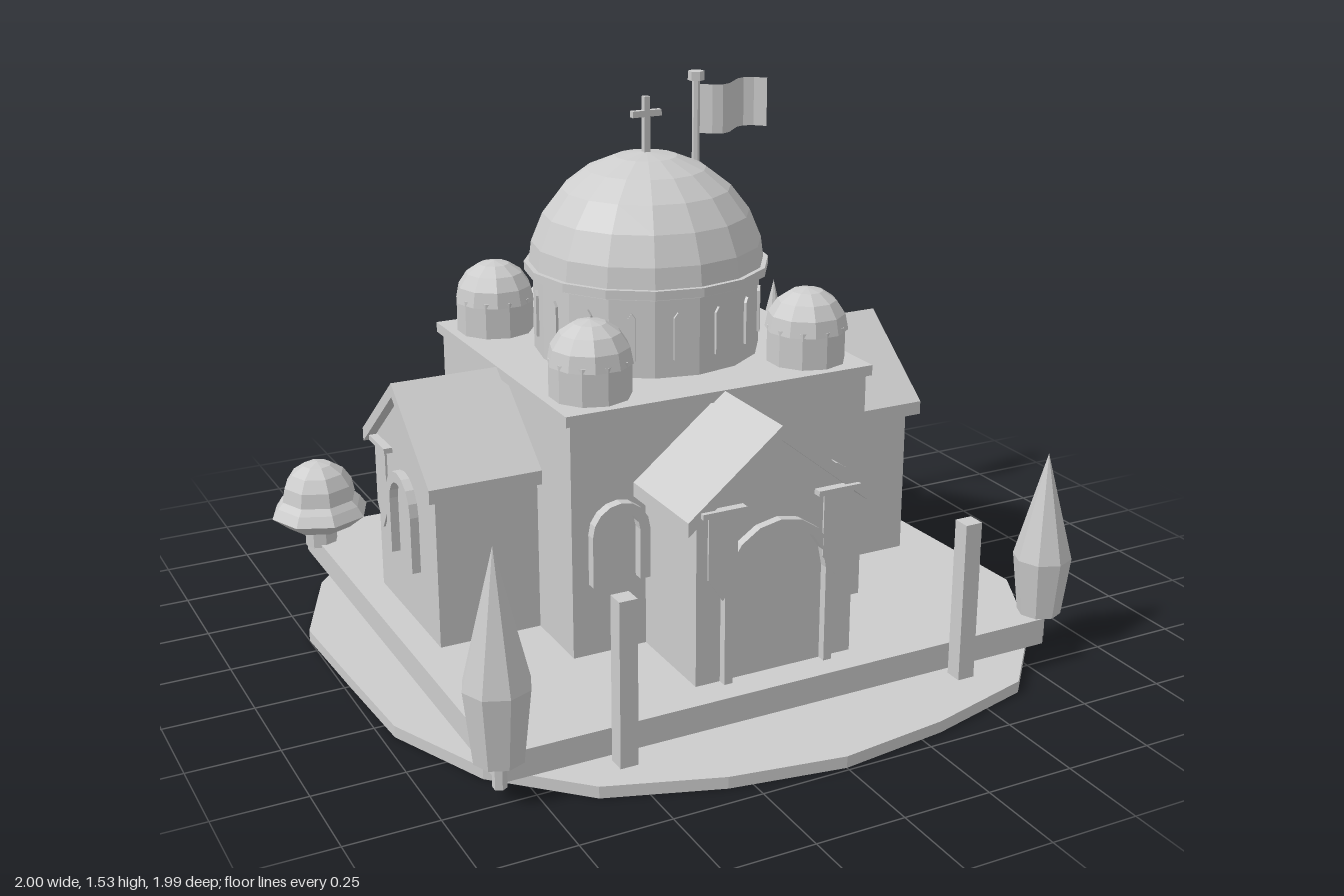
import * as THREE from 'three';
import { ParametricGeometry } from 'three/addons/geometries/ParametricGeometry.js';

export function createModel() {
  const root = new THREE.Group();
  const stone = new THREE.MeshStandardMaterial({ color: 0xcccccc, flatShading: true, side: THREE.DoubleSide });
  stone.name = 'pale grey stone';
  const CZ = -0.137; // centre line of the nave

  const add = (name, geo, x = 0, y = 0, z = 0, parent = root) => {
    const m = new THREE.Mesh(geo, stone);
    m.name = name;
    m.position.set(x, y, z);
    parent.add(m);
    return m;
  };
  // Box given by its limits
  const box = (name, x0, x1, y0, y1, z0, z1, parent = root) =>
    add(name, new THREE.BoxGeometry(x1 - x0, y1 - y0, z1 - z0), (x0 + x1) / 2, (y0 + y1) / 2, (z0 + z1) / 2, parent);
  const extrude = (shape, depth) => new THREE.ExtrudeGeometry(shape, { depth, bevelEnabled: false, curveSegments: 4 });
  const poly = (pts) => new THREE.Shape(pts.map(([x, y]) => new THREE.Vector2(x, y)));
  const lathe = (pts, n) => new THREE.LatheGeometry(pts.map(([r, y]) => new THREE.Vector2(r, y)), n);
  const dome = (r, n, rows) => new THREE.SphereGeometry(r, n, rows, 0, Math.PI * 2, 0, Math.PI / 2);

  // Arched frame, open at the foot
  const archFrame = (outer, inner, y0, top, depth) => {
    const spring = top - outer, pts = [], n = 8;
    for (let i = 0; i <= n; i++) {
      const a = Math.PI * i / n;
      pts.push([outer * Math.cos(a), spring + outer * Math.sin(a)]);
    }
    pts.push([-outer, y0], [-inner, y0]);
    for (let i = n; i >= 0; i--) {
      const a = Math.PI * i / n;
      pts.push([inner * Math.cos(a), spring + inner * Math.sin(a)]);
    }
    pts.push([inner, y0], [outer, y0]);
    return extrude(poly(pts), depth);
  };

  // Irregular ground slab
  const rim = [[0, .99], [.315, .95], [.63, .865], [.85, .62], [1, .32], [.985, 0], [.967, -.32], [.865, -.635],
    [.62, -.87], [.315, -1], [0, -.975], [-.315, -.975], [-.63, -.885], [-.87, -.62], [-1, -.32], [-.985, 0],
    [-.967, .32], [-.84, .62], [-.62, .835], [-.315, .94]];
  add('ground', extrude(poly(rim.map(([x, z]) => [x, -z])), 0.033)).rotation.x = -Math.PI / 2;
  box('terrace', -0.834, 0.83, 0.033, 0.11, -0.877, 0.711);

  // Central block
  box('mainBlock', -0.455, 0.455, 0.11, 0.78, -0.596, 0.326);
  box('cornice', -0.47, 0.47, 0.78, 0.81, -0.61, 0.335);

  // Gabled wing, built outward along its own +z from the church centre
  const wing = (name, wallEnd, roofEnd, angle) => {
    const g = new THREE.Group();
    g.name = name;
    g.position.z = CZ;
    g.rotation.y = angle;
    root.add(g);
    const wall = poly([[-0.237, 0.11], [0.237, 0.11], [0.237, 0.58], [0, 0.775], [-0.237, 0.58]]);
    add('wingWall', extrude(wall, wallEnd - 0.4), 0, 0, 0.4, g);
    const roof = poly([[0, 0.808], [-0.272, 0.59], [-0.272, 0.55], [0, 0.768], [0.272, 0.55], [0.272, 0.59]]);
    add('wingRoof', extrude(roof, roofEnd - 0.44), 0, 0, 0.44, g);
    return g;
  };
  // Pointed hanging on a short rail
  const banner = (g, x, y, tip, z) => {
    box('bannerRail', x - 0.064, x + 0.064, y, y + 0.015, z, z + 0.025, g);
    const s = poly([[x - 0.043, y], [x - 0.043, tip + 0.065], [x, tip], [x + 0.043, tip + 0.065], [x + 0.043, y]]);
    add('banner', extrude(s, 0.006), 0, 0, z + 0.01, g);
  };

  const front = wing('frontWing', 0.755, 0.777, 0);
  add('doorFrame', archFrame(0.165, 0.14, 0.11, 0.55, 0.025), 0, 0, 0.755, front);
  for (const s of [-1, 1]) banner(front, s * 0.172, 0.596, 0.355, 0.765);
  wing('backWing', 0.745, 0.773, Math.PI);
  for (const s of [1, -1]) {
    const g = wing(s > 0 ? 'leftWing' : 'rightWing', 0.752, 0.78, s * Math.PI / 2);
    add('sideWindowFrame', archFrame(0.1, 0.068, 0.28, 0.545, 0.025), 0, 0, 0.752, g);
    banner(g, s * 0.15, 0.572, 0.325, 0.756);
    add('frontWindowFrame', archFrame(0.085, 0.055, 0.32, 0.55, 0.03), s * 0.322, 0, 0.326);
    box('gatePost', s * 0.512 - 0.025, s * 0.512 + 0.025, 0.033, 0.49, 0.735, 0.785);
  }

  // Drum, slit windows and main dome
  add('drum', new THREE.CylinderGeometry(0.325, 0.325, 0.23, 16), 0, 0.925, CZ);
  for (let i = 0; i < 16; i++) {
    const a = (i + 0.5) * Math.PI / 8;
    const slit = poly([[-0.011, 0.86], [0.011, 0.86], [0.011, 0.98], [0, 0.995], [-0.011, 0.98]]);
    add('drumWindow', extrude(slit, 0.009), Math.sin(a) * 0.318, 0, CZ + Math.cos(a) * 0.318).rotation.y = a;
  }
  add('domeRing', new THREE.CylinderGeometry(0.35, 0.35, 0.025, 16), 0, 1.052, CZ);
  add('mainDome', dome(0.34, 16, 6), 0, 1.035, CZ);
  box('crossPost', -0.009, 0.009, 1.36, 1.53, CZ - 0.009, CZ + 0.009);
  box('crossArm', -0.045, 0.045, 1.473, 1.491, CZ - 0.009, CZ + 0.009);

  // Corner turrets
  for (const x of [-0.335, 0.335]) for (const z of [-0.471, 0.197]) {
    add('turret', new THREE.CylinderGeometry(0.113, 0.113, 0.11, 10), x, 0.86, z);
    add('turretDome', dome(0.118, 10, 4), x, 0.902, z);
  }

  // Flag on the back left turret
  add('flagPole', new THREE.CylinderGeometry(0.012, 0.012, 0.5, 6), 0.338, 1.25, -0.475);
  add('poleKnob', new THREE.CylinderGeometry(0.025, 0.025, 0.028, 6), 0.338, 1.511, -0.475);
  add('flag', new ParametricGeometry((u, v, p) =>
    p.set(0.348 + 0.237 * u, 1.335 + 0.15 * v, -0.473 + 0.042 * Math.sin(u * Math.PI * 2)), 8, 1));

  // Cypress trees: x, z, height of tip, widest radius
  for (const [x, z, tip, r] of [[-0.835, 0.72, 0.675, 0.09], [0.85, 0.66, 0.59, 0.082], [0.85, -0.86, 0.71, 0.093]]) {
    add('treeTrunk', new THREE.CylinderGeometry(0.019, 0.019, 0.1, 6), x, 0.08, z);
    const waist = 0.11 + (tip - 0.11) * 0.355;
    add('treeCrown', lathe([[0, 0.11], [r * 0.75, 0.11], [r, waist], [0, tip]], 8), x, 0, z);
  }

  // Domed font at the back right corner
  add('font', lathe([[0, 0.1], [0.05, 0.1], [0.05, 0.165], [0.1, 0.165], [0.15, 0.205], [0.13, 0.235], [0.105, 0.26]], 8), -0.82, 0, -0.765);
  add('fontDome', dome(0.115, 8, 4), -0.82, 0.255, -0.765);

  return root;
}
